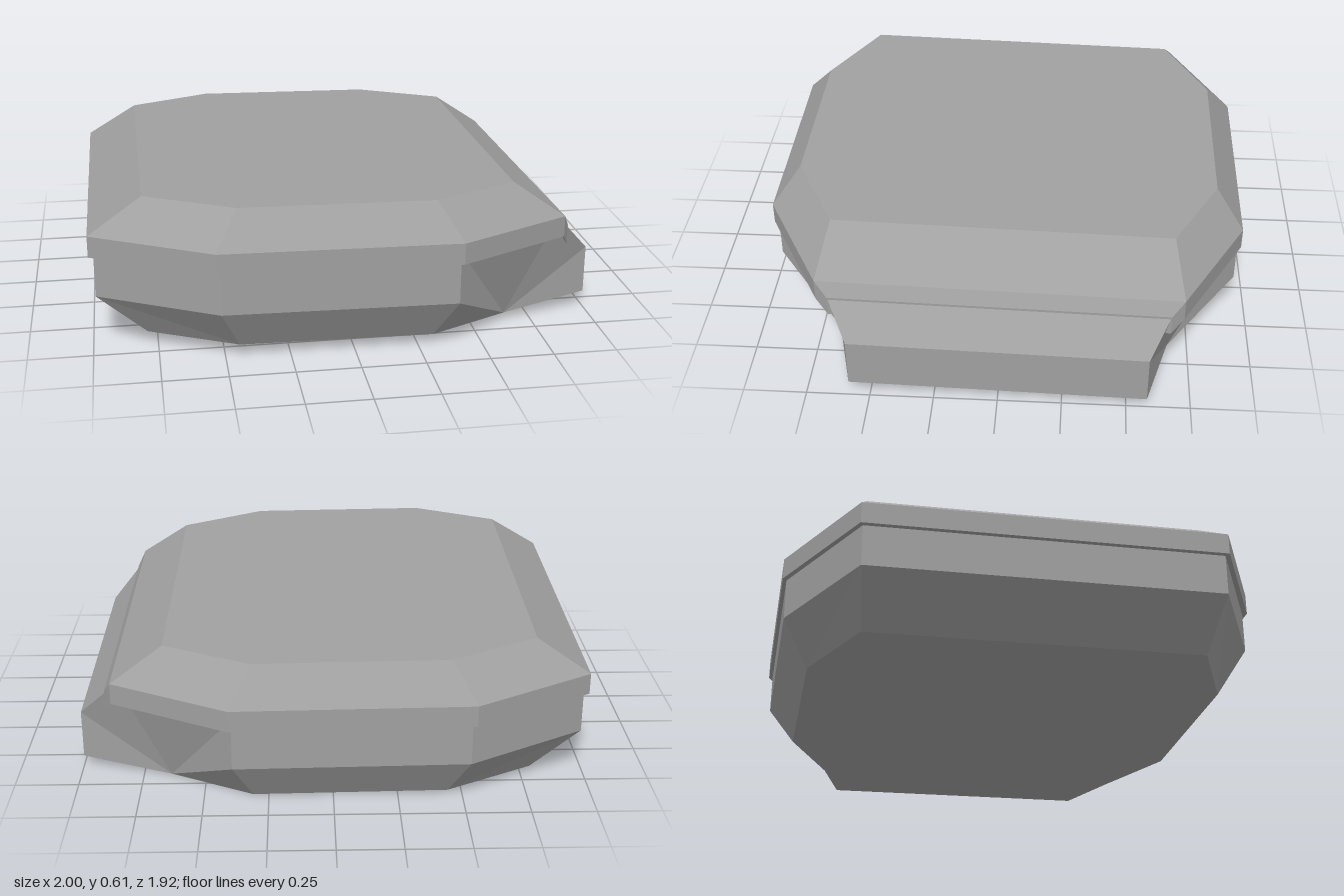
import * as THREE from 'three';

// The whole case leans slightly: lower toward +x and toward the back.
const lean = (x, z) => -0.013 * x + 0.024 * z;

// Lofts rings from bottom to top. Each ring lists [x, y, z] for the +z half, from +x to -x;
// the -z half is mirrored. Both ends are closed.
function loft(halfRings) {
  const rings = halfRings.map((half) =>
    [...half, ...[...half].reverse().map(([x, y, z]) => [x, y, -z])]
      .map(([x, y, z]) => new THREE.Vector3(x, y + lean(x, z), z)));
  const n = rings[0].length;
  const pos = [];
  const tri = (a, b, c) => {
    if (new THREE.Triangle(a, b, c).getArea() < 1e-7) return;
    for (const v of [a, b, c]) pos.push(v.x, v.y, v.z);
  };
  // walls, with mirrored diagonals on the two halves
  for (let k = 0; k < rings.length - 1; k++) {
    for (let i = 0; i < n; i++) {
      const j = (i + 1) % n;
      const a = rings[k][i], b = rings[k][j], c = rings[k + 1][j], d = rings[k + 1][i];
      if (i < n / 2) { tri(a, c, b); tri(a, d, c); }
      else { tri(a, d, b); tri(b, d, c); }
    }
  }
  // end caps, as strips across z
  const low = rings[0], high = rings[rings.length - 1];
  for (let i = 0; i < n / 2 - 1; i++) {
    const p = n - 1 - i, q = n - 2 - i;
    tri(low[i], low[i + 1], low[q]);
    tri(low[i], low[q], low[p]);
    tri(high[i], high[q], high[i + 1]);
    tri(high[i], high[p], high[q]);
  }
  const geometry = new THREE.BufferGeometry();
  geometry.setAttribute('position', new THREE.Float32BufferAttribute(pos, 3));
  geometry.computeVertexNormals();
  return geometry;
}

export function createModel() {
  const group = new THREE.Group();
  group.name = 'case';
  const grey = new THREE.MeshStandardMaterial({ color: 0xa0a0a0, flatShading: true });
  grey.name = 'grey';
  const add = (name, rings) => {
    const mesh = new THREE.Mesh(loft(rings), grey);
    mesh.name = name;
    group.add(mesh);
  };

  // lower body with a sloped snout on the +x side
  add('body', [
    [[1, 0.065, 0.58], [0.64, 0.024, 0.67], [0.31, 0.024, 0.84], [-0.445, 0.024, 0.84], [-0.79, 0.024, 0.67]],
    [[1, 0.26, 0.58], [0.64, 0.024, 0.67], [0.385, 0.195, 0.945], [-0.52, 0.195, 0.945], [-0.98, 0.195, 0.70]],
    [[0.84, 0.435, 0.69], [0.84, 0.435, 0.69], [0.385, 0.40, 0.945], [-0.52, 0.40, 0.945], [-0.98, 0.40, 0.70]],
  ]);

  // lid: short upright rim, then a wide bevel up to the flat top
  const rim = (y) => [[0.86, y, 0.71], [0.395, y, 0.96], [-0.535, y, 0.96], [-1, y, 0.71]];
  add('lid', [
    rim(0.36),
    rim(0.445),
    [[0.655, 0.584, 0.67], [0.31, 0.584, 0.85], [-0.445, 0.584, 0.85], [-0.79, 0.584, 0.67]],
  ]);

  // narrow flap of the lid lying on the slope
  add('lidFlap', [
    [[0.89, 0.31, 0.66], [0.86, 0.36, 0.71]],
    [[0.89, 0.39, 0.66], [0.86, 0.445, 0.71]],
  ]);

  return group;
}
